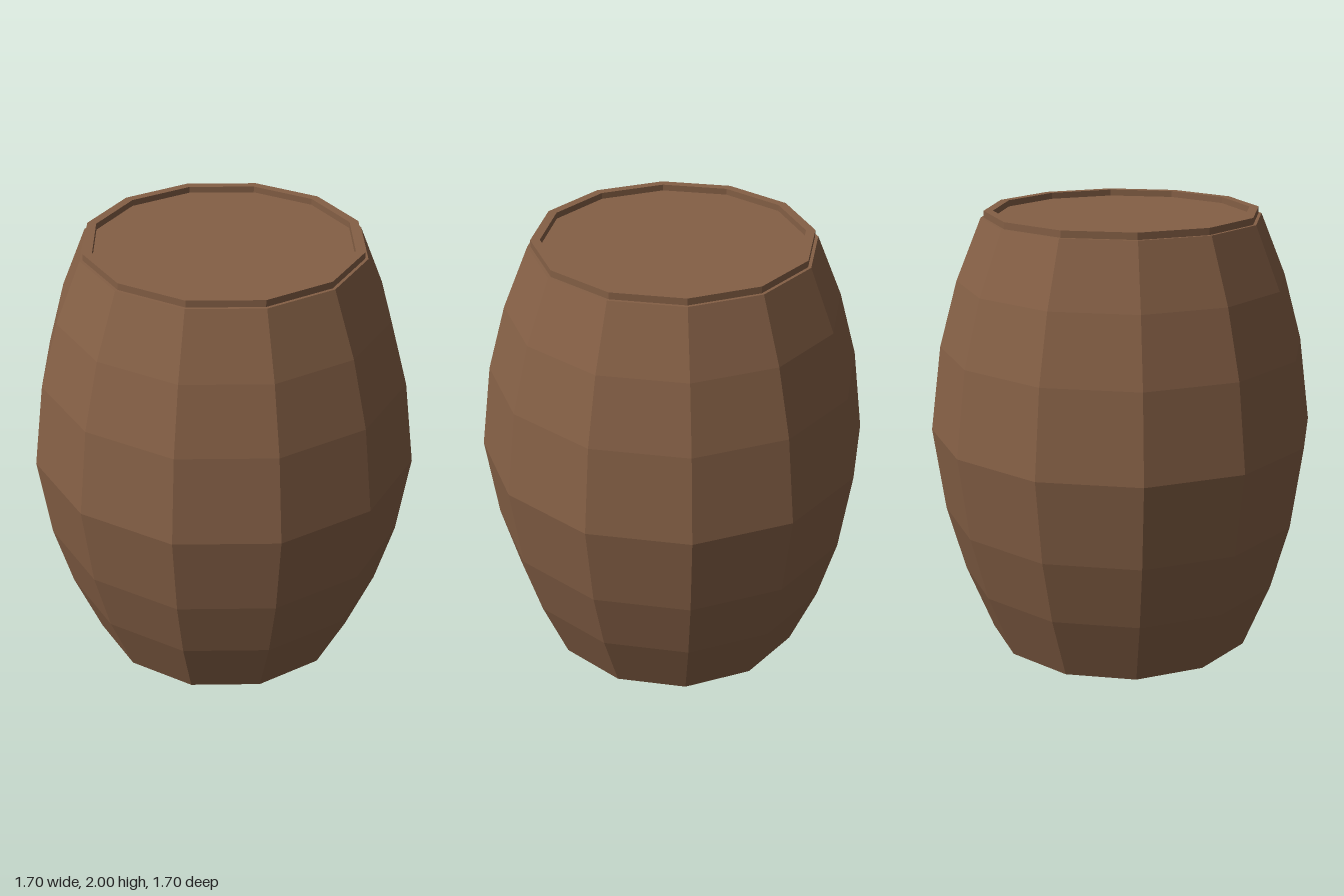
import * as THREE from 'three';

const SIDES = 12;
const TURN = THREE.MathUtils.degToRad(14); // slight twist of the twelve-sided body

export function createModel() {
  const barrel = new THREE.Group();
  barrel.name = 'barrel';
  const wood = new THREE.MeshStandardMaterial({ color: 0x85603f, flatShading: true });
  wood.name = 'brown wood';
  wood.color.set(0x845f45);

  const add = (name, geometry) => {
    const mesh = new THREE.Mesh(geometry, wood);
    mesh.name = name;
    barrel.add(mesh);
    return mesh;
  };

  // Faceted ring turned from a profile of [radius, height] points
  const ring = (name, profile) => {
    const points = profile.map(([r, y]) => new THREE.Vector2(r, y));
    const geometry = new THREE.LatheGeometry(points, SIDES, TURN).toNonIndexed();
    geometry.computeVertexNormals();
    return add(name, geometry);
  };

  // Flat twelve-sided end, facing up (1) or down (-1)
  const end = (name, radius, y, facing) => {
    const start = Math.PI / 2 - TURN; // angle from +x towards +z of one corner
    const geometry = new THREE.CircleGeometry(radius, SIDES, -facing * start);
    geometry.rotateX(-facing * Math.PI / 2);
    geometry.translate(0, y, 0);
    return add(name, geometry);
  };

  // Bulging staves with a lip folded in at the bottom
  ring('staves', [
    [0.575, 0.03], [0.575, 0], [0.618, 0], [0.742, 0.31], [0.825, 0.615], [0.877, 1],
    [0.825, 1.39], [0.742, 1.69], [0.627, 1.97], [0.613, 1.97],
  ]);

  // Raised rim around the lid
  ring('topRim', [[0.613, 1.97], [0.613, 2], [0.572, 2], [0.572, 1.972]]);

  // Recessed ends
  end('lid', 0.572, 1.972, 1);
  end('bottom', 0.575, 0.03, -1);

  return barrel;
}
